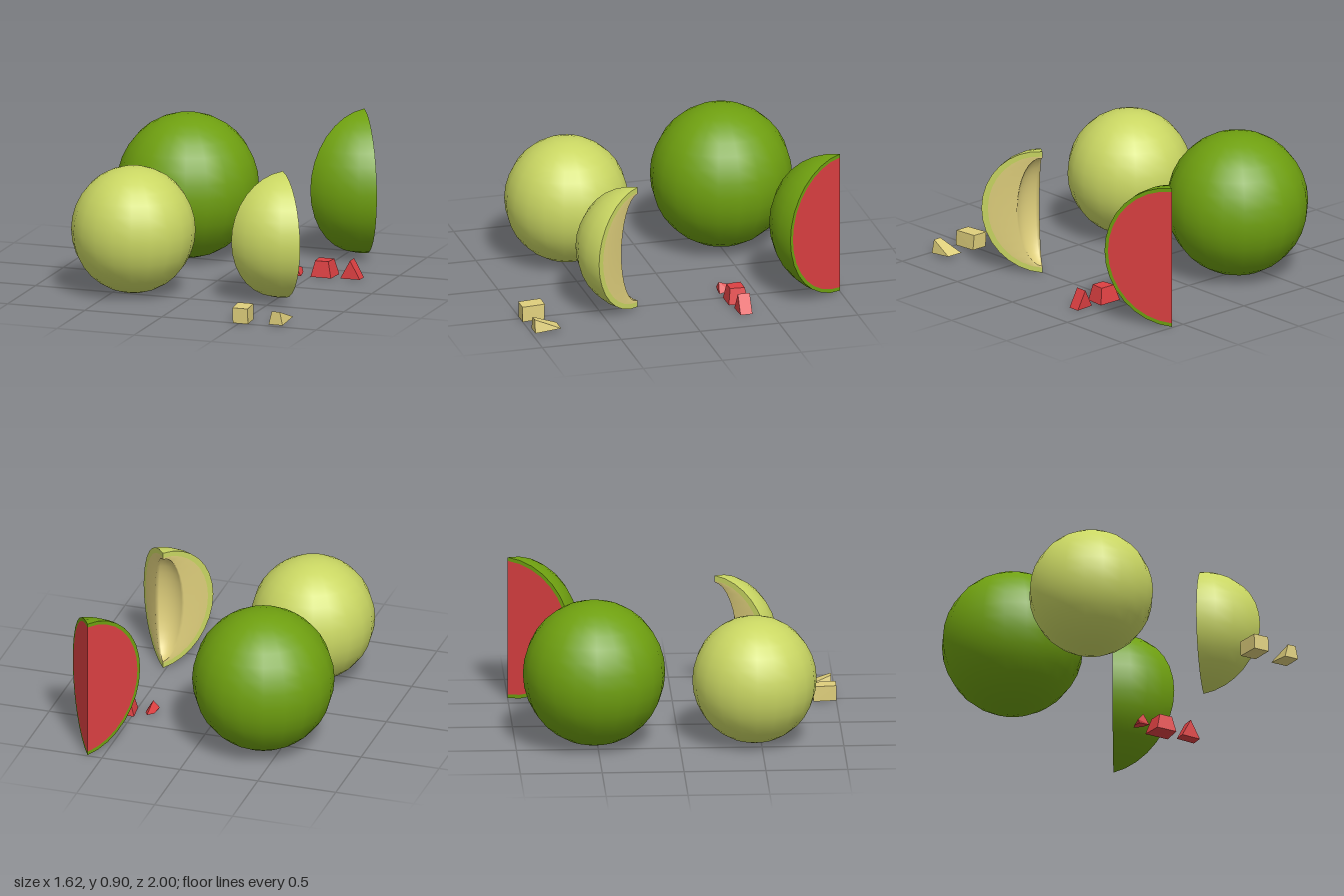
import * as THREE from 'three';
import { ConvexGeometry } from 'three/addons/geometries/ConvexGeometry.js';

const ROWS = 16;

function flat(name, color) {
  const m = new THREE.MeshStandardMaterial({ color, side: THREE.DoubleSide });
  m.name = name;
  return m;
}

function mesh(name, geometry, material) {
  const m = new THREE.Mesh(geometry, material);
  m.name = name;
  return m;
}

// Whole fruit: a slightly tall ball
function ball(name, r, ry, material) {
  return mesh(name, new THREE.SphereGeometry(r, 20, ROWS).scale(1, ry / r, 1), material);
}

// Outer skin of a wedge whose apex is the y axis and whose middle points to +z
function wedgeSkin(r, ry, half, material) {
  const g = new THREE.SphereGeometry(r, 4, ROWS, Math.PI / 2 - half, 2 * half).scale(1, ry / r, 1);
  return mesh('sliceSkin', g, material);
}

// Half ellipse in the cut plane, optionally with a smaller half ellipse removed
function cutFace(name, r, ry, angle, material, inner) {
  const s = new THREE.Shape();
  s.moveTo(0, -ry);
  s.absellipse(0, 0, r, ry, -Math.PI / 2, Math.PI / 2, false);
  if (inner) {
    s.lineTo(0, inner[1]);
    s.absellipse(0, 0, inner[0], inner[1], Math.PI / 2, -Math.PI / 2, true);
  }
  s.closePath();
  const g = new THREE.ShapeGeometry(s, ROWS / 2);
  // turn the front towards the outside of the wedge
  if (angle > 0) {
    g.rotateY(Math.PI).scale(-1, 1, 1);
    const n = g.attributes.normal;
    for (let i = 0; i < n.count; i++) n.setXYZ(i, 0, 0, -1);
    const idx = g.index.array;
    for (let i = 0; i < idx.length; i += 3) [idx[i], idx[i + 1]] = [idx[i + 1], idx[i]];
    // undo any depth flip so winding and normal agree
    g.attributes.position.needsUpdate = true;
  }
  g.rotateY(angle - Math.PI / 2);
  return mesh(name, g, material);
}

// Flesh of the hollow slice: cut side, scooped middle, cut side
function scoopedFlesh(half, outer, scoop, material) {
  const steps = 8, cols = steps + 2;
  const g = new THREE.PlaneGeometry(1, 1, cols, ROWS);
  const p = g.attributes.position;
  for (let j = 0; j <= ROWS; j++) {
    const t = (j / ROWS) * Math.PI;
    for (let i = 0; i <= cols; i++) {
      const [r, ry] = i === 0 || i === cols ? outer : scoop;
      const k = THREE.MathUtils.clamp((i - 1) / steps, 0, 1);
      const a = half * (1 - 2 * k);
      const q = r * Math.sin(t);
      p.setXYZ(j * (cols + 1) + i, q * Math.sin(a), ry * Math.cos(t), q * Math.cos(a));
    }
  }
  g.computeVertexNormals();
  return mesh('scoopedFlesh', g, material);
}

// Cut chunk from its corner points
function chunk(name, corners, material) {
  return mesh(name, new ConvexGeometry(corners.map((c) => new THREE.Vector3(...c))), material);
}

export function createModel() {
  const model = new THREE.Group();
  model.name = 'melons';
  const green = flat('watermelonRind', 0x6fa010);
  const lime = flat('melonRind', 0xcad763);
  const red = flat('watermelonFlesh', 0xdd4042);
  const tan = flat('melonFlesh', 0xdfcf7c);

  // Whole fruits
  const water = ball('watermelon', 0.435, 0.448, green);
  water.position.set(-0.38, 0.453, -0.52);
  const melon = ball('melon', 0.38, 0.392, lime);
  melon.position.set(-0.38, 0.397, 0.46);
  model.add(water, melon);

  // Watermelon slice
  const waterSlice = new THREE.Group();
  waterSlice.name = 'watermelonSlice';
  const wa = Math.PI / 6, wIn = [0.41, 0.425];
  waterSlice.add(wedgeSkin(0.432, 0.448, wa, green));
  for (const a of [-wa, wa]) {
    waterSlice.add(cutFace('sliceRim', 0.432, 0.448, a, green, wIn));
    waterSlice.add(cutFace('sliceFlesh', ...wIn, a, red));
  }
  waterSlice.position.set(0.592, 0.453, -1);
  model.add(waterSlice);

  // Melon slice with the seeds scooped out
  const melonSlice = new THREE.Group();
  melonSlice.name = 'melonSlice';
  const ma = Math.PI / 5, mIn = [0.34, 0.36];
  melonSlice.add(wedgeSkin(0.38, 0.392, ma, lime));
  for (const a of [-ma, ma]) melonSlice.add(cutFace('sliceRim', 0.38, 0.392, a, lime, mIn));
  melonSlice.add(scoopedFlesh(ma, mIn, [0.16, 0.35], tan));
  melonSlice.position.set(0.517, 0.397, 0.26);
  model.add(melonSlice);

  // Watermelon chunks: spike, block and ridge
  model.add(chunk('redSpike', [
    [0.375, 0, -0.285], [0.44, 0, -0.28], [0.362, 0.02, -0.28], [0.402, 0.065, -0.285],
    [0.375, 0.01, -0.35], [0.43, 0.01, -0.35], [0.402, 0.025, -0.41],
  ], red));
  model.add(chunk('redBlock', [
    [0.5, 0, -0.285], [0.632, 0, -0.285], [0.485, 0, -0.41], [0.642, 0, -0.41],
    [0.525, 0.1, -0.3], [0.61, 0.1, -0.3], [0.518, 0.1, -0.39], [0.617, 0.1, -0.39],
  ], red));
  model.add(chunk('redRidge', [
    [0.685, 0, -0.305], [0.81, 0, -0.31], [0.685, 0, -0.375], [0.81, 0, -0.385],
    [0.747, 0.115, -0.31], [0.747, 0.115, -0.385],
  ], red));

  // Melon chunks: skewed block and wedge
  model.add(chunk('tanBlock', [
    [0.46, 0, 1], [0.558, 0, 1], [0.442, 0, 0.86], [0.545, 0, 0.86],
    [0.457, 0.095, 1], [0.555, 0.095, 1], [0.44, 0.095, 0.855], [0.54, 0.095, 0.855],
  ], tan));
  model.add(chunk('tanWedge', [
    [0.685, 0.005, 0.98], [0.775, 0.005, 0.98], [0.705, 0.088, 0.98], [0.757, 0.088, 0.98],
    [0.677, 0.025, 0.82], [0.785, 0.025, 0.82],
  ], tan));
  return model;
}
